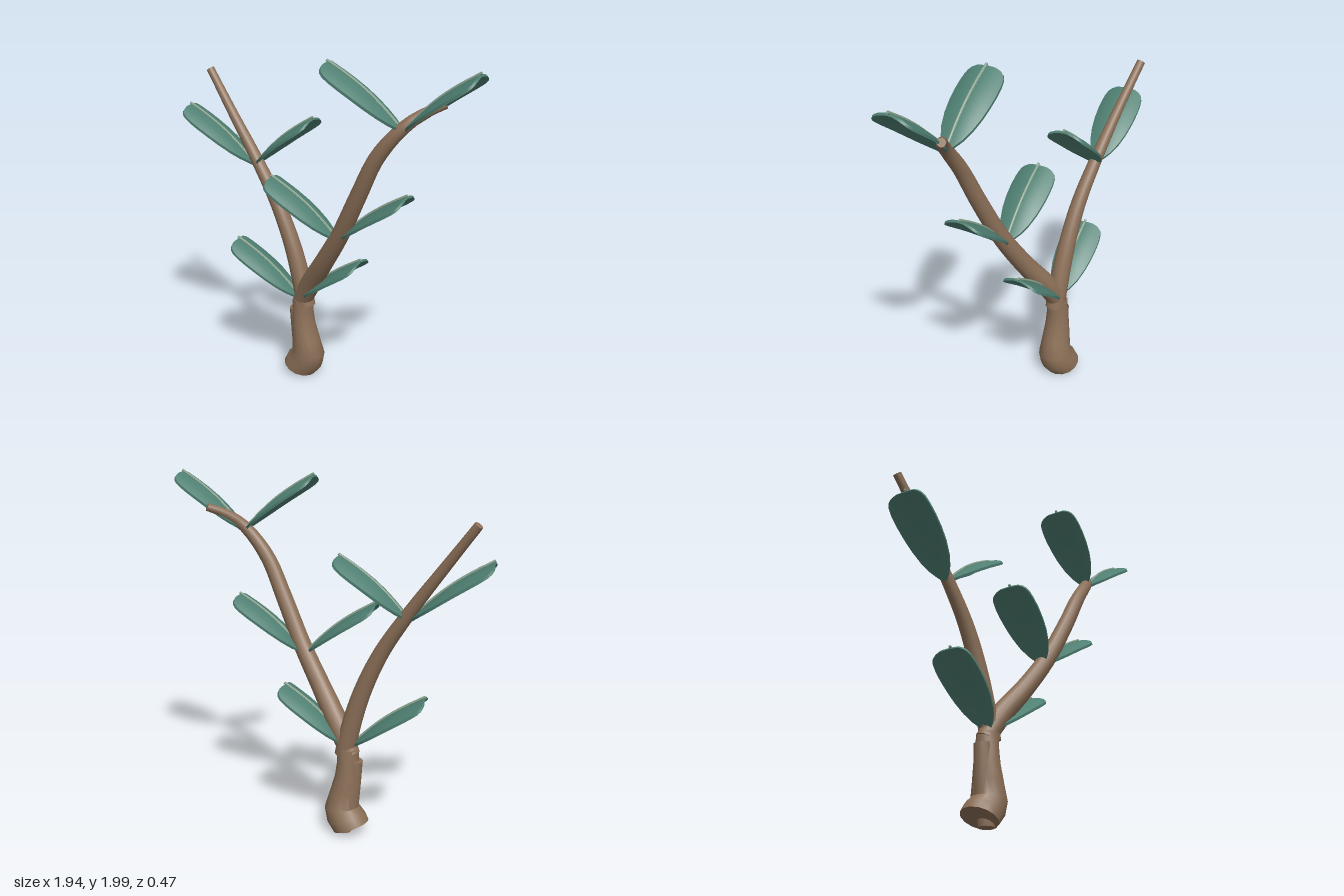
import * as THREE from 'three';
import { toCreasedNormals } from 'three/addons/utils/BufferGeometryUtils.js';

const V = (x, y, z) => new THREE.Vector3(x, y, z);

const paint = (name, color) => {
  const m = new THREE.MeshStandardMaterial({ color });
  m.name = name;
  return m;
};

// Closed skin over rings of points running counter-clockwise about the axis
function loft(rings, crease = 0.7) {
  const n = rings[0].length, last = rings.length - 1;
  const pts = rings.flat(), index = [];
  for (let i = 0; i < last; i++) {
    for (let j = 0; j < n; j++) {
      const a = i * n + j, b = i * n + (j + 1) % n;
      index.push(a, b, a + n, b, b + n, a + n);
    }
  }
  for (const [ring, flip] of [[0, true], [last, false]]) {
    const mid = V(0, 0, 0);
    rings[ring].forEach((p) => mid.addScaledVector(p, 1 / n));
    const c = pts.push(mid) - 1;
    for (let j = 0; j < n; j++) {
      const a = ring * n + j, b = ring * n + (j + 1) % n;
      index.push(c, flip ? b : a, flip ? a : b);
    }
  }
  const g = new THREE.BufferGeometry().setFromPoints(pts);
  g.setIndex(index);
  return toCreasedNormals(g, crease);
}

// Round limb along a smooth path of [x, y, z, radius] stations
function limb(stations, steps = 28, sides = 14) {
  const curve = new THREE.CatmullRomCurve3(stations.map((s) => V(s[0], s[1], s[2])));
  const radii = new THREE.SplineCurve(stations.map((s) => new THREE.Vector2(s[3], 0)));
  const { normals, binormals } = curve.computeFrenetFrames(steps, false);
  const rings = [];
  for (let i = 0; i <= steps; i++) {
    const u = i / steps, t = curve.getUtoTmapping(u);
    const p = curve.getPoint(t), r = radii.getPoint(t).x;
    rings.push(Array.from({ length: sides }, (_, j) => {
      const a = (j / sides) * Math.PI * 2;
      return p.clone().addScaledVector(normals[i], r * Math.cos(a))
        .addScaledVector(binormals[i], r * Math.sin(a));
    }));
  }
  return loft(rings);
}

// Arched leaf blade along +x: broad blunt tip, narrow base, edges drooping
const LENGTH = 0.5;
const outline = [[0, 0.014], [0.05, 0.035], [0.13, 0.062], [0.25, 0.088], [0.4, 0.107], [0.55, 0.117],
  [0.7, 0.121], [0.82, 0.119], [0.9, 0.113], [0.95, 0.102], [0.98, 0.084], [1, 0.055]];
const arch = (s) => 0.025 * Math.sin(s * Math.PI) - 0.012;

function leafBlade() {
  const N = 10;
  return loft(outline.map(([s, w]) => {
    const ring = [];
    for (const side of [0, 1]) {
      for (let k = 0; k <= N; k++) {
        const u = (side ? -1 : 1) * (2 * k / N - 1);
        const droop = 2.6 * (u * w) ** 2;
        ring.push(V(s * LENGTH, arch(s) - droop - side * 0.014, u * w));
      }
    }
    return ring;
  }));
}

export function createModel() {
  const bark = paint('bark brown', 0x8c7058);
  const green = paint('leaf green', 0x4f7f72);
  const pale = paint('midrib pale green', 0x87a08c);
  const model = new THREE.Group();
  model.name = 'branchingPlant';

  const add = (parent, name, geometry, material) => {
    const mesh = new THREE.Mesh(geometry, material);
    mesh.name = name;
    parent.add(mesh);
    return mesh;
  };

  // Gnarled trunk: [cx, cy, cz, rx, rz, tilt]
  const trunk = [
    [-0.225, 0.04, -0.09, 0.095, 0.108, -0.42],
    [-0.19, 0.09, -0.09, 0.108, 0.105, -0.3],
    [-0.16, 0.15, -0.088, 0.098, 0.096, -0.08],
    [-0.175, 0.24, -0.083, 0.084, 0.084, 0],
    [-0.19, 0.34, -0.078, 0.07, 0.073, 0],
    [-0.193, 0.42, -0.076, 0.062, 0.066, 0],
    [-0.19, 0.5, -0.075, 0.06, 0.062, 0],
  ];
  add(model, 'trunk', loft(trunk.map(([cx, cy, cz, rx, rz, tilt]) =>
    Array.from({ length: 14 }, (_, j) => {
      const a = (j / 14) * Math.PI * 2, dx = rx * Math.sin(a);
      return V(cx + dx, Math.max(0, cy + tilt * dx), cz + rz * Math.cos(a));
    }))), bark);

  // Cut stub and straight root foot against the trunk
  add(model, 'trunkStub', limb([[-0.2, 0.12, -0.08, 0.055], [-0.215, 0.28, -0.075, 0.053],
    [-0.228, 0.435, -0.07, 0.05]], 8), bark);
  add(model, 'rootFoot', limb([[-0.175, 0, -0.09, 0.045], [-0.175, 0.1, -0.09, 0.055]], 4), bark);

  // Two main branches
  add(model, 'rightBranch', limb([
    [-0.17, 0.46, -0.075, 0.058], [-0.2, 0.6, -0.075, 0.056], [-0.27, 0.83, -0.07, 0.05],
    [-0.38, 1.07, -0.062, 0.043], [-0.54, 1.31, -0.06, 0.036], [-0.72, 1.55, -0.06, 0.029],
    [-0.906, 1.79, -0.068, 0.024]]), bark);
  add(model, 'leftBranch', limb([
    [-0.21, 0.46, -0.075, 0.054], [-0.13, 0.6, -0.06, 0.062], [0.02, 0.8, -0.01, 0.056],
    [0.17, 1.02, 0.025, 0.051], [0.31, 1.28, 0.05, 0.047], [0.43, 1.51, 0.055, 0.042],
    [0.565, 1.68, 0.02, 0.034], [0.64, 1.75, -0.05, 0.028], [0.71, 1.79, -0.125, 0.022]]), bark);

  // Leaf pairs: [node, right tip, left tip]
  const blade = leafBlade();
  const rib = limb([0, 0.25, 0.5, 0.75, 1].map((s) =>
    [s * (LENGTH + 0.01), arch(s) + 0.001, 0, 0.008]), 12, 8);
  const pairs = [
    [[-0.195, 0.525, -0.06], [-0.58, 0.835, 0.05], [0.185, 0.835, -0.12]],
    [[0.15, 1.0, 0.02], [-0.23, 1.305, 0.125], [0.535, 1.305, -0.05]],
    [[-0.54, 1.29, -0.055], [-0.935, 1.605, 0.06], [-0.17, 1.6, -0.125]],
    [[0.56, 1.675, 0.02], [0.17, 1.985, 0.125], [0.93, 1.985, -0.045]],
  ];
  for (const [node, ...tips] of pairs) {
    tips.forEach((tip, k) => {
      const leaf = new THREE.Group();
      leaf.name = k ? 'leftLeaf' : 'rightLeaf';
      const base = V(...node), along = V(...tip).sub(base);
      leaf.scale.x = along.length() / LENGTH;
      along.normalize();
      const across = along.clone().cross(V(0, 1, 0)).normalize();
      const up = across.clone().cross(along);
      leaf.position.copy(base);
      leaf.quaternion.setFromRotationMatrix(new THREE.Matrix4().makeBasis(along, up, across));
      add(leaf, 'blade', blade, green);
      add(leaf, 'midrib', rib, pale);
      model.add(leaf);
    });
  }
  return model;
}
